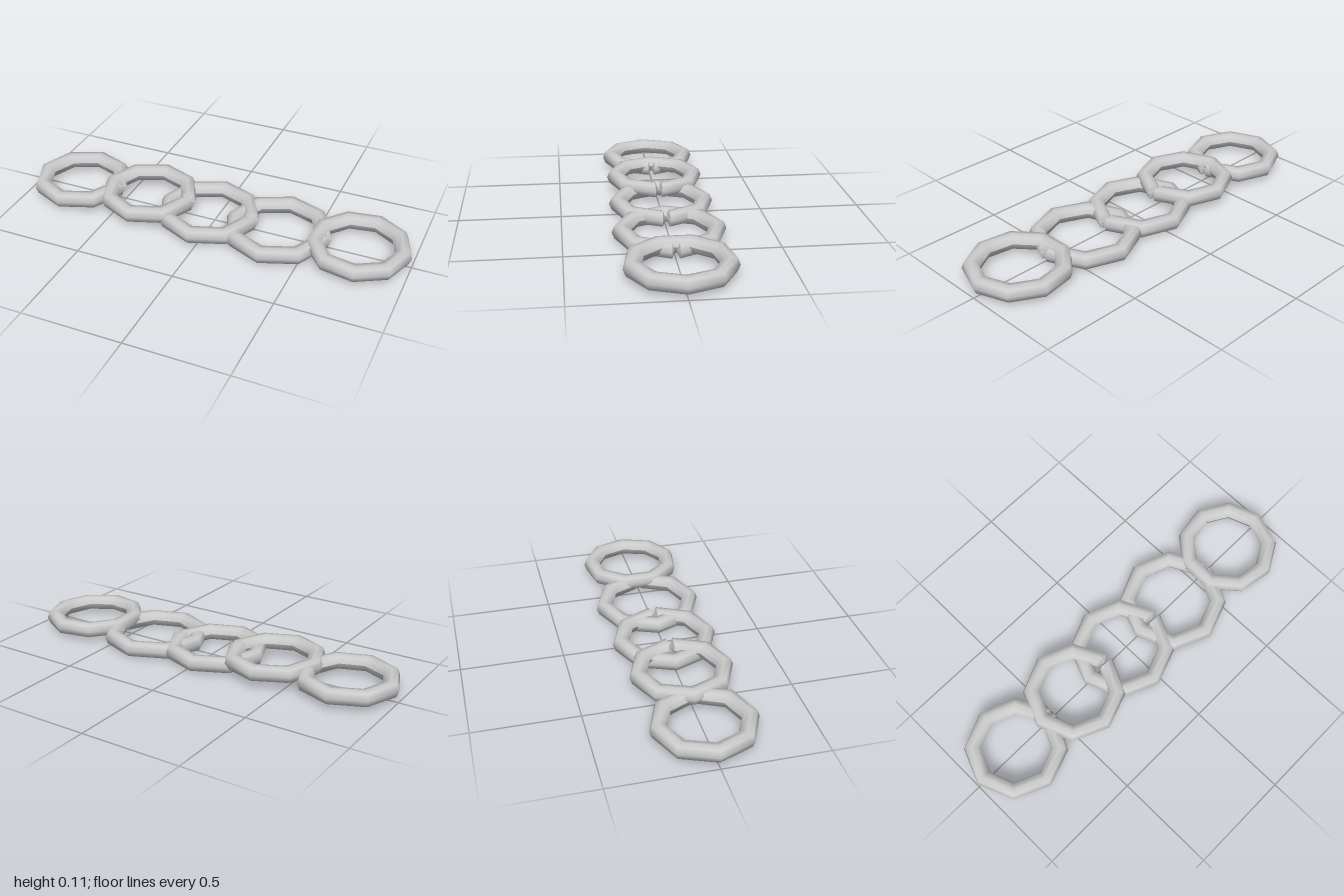
import * as THREE from 'three';

const material = new THREE.MeshStandardMaterial({ color: 0xcccccc });
const HALF_WIDTH = 0.041; // half the radial width of a link

// Rounded cross-section, starting at the inner side and running counter-clockwise
function crossSection(outerRadius) {
  const c = outerRadius - HALF_WIDTH;
  const offsets = [
    [-0.041, 0], [-0.029, -0.031], [0, -0.036], [0.029, -0.031],
    [0.041, 0], [0.029, 0.031], [0, 0.036], [-0.029, 0.031], [-0.041, 0],
  ];
  return offsets.map(([x, y]) => new THREE.Vector2(c + x, y));
}

// Shallow pointed end that faces across the gap of a split link
function endCap(profile, outerRadius, phi, flip) {
  const apex = [outerRadius - HALF_WIDTH, 0, flip ? 0.001 : -0.001];
  const at = (p) => [p.x * Math.sin(phi), p.y, p.x * Math.cos(phi)];
  const positions = [];
  for (let i = 0; i < profile.length - 1; i++) {
    const a = at(profile[i]);
    const b = at(profile[i + 1]);
    positions.push(...(flip ? b : a), ...(flip ? a : b), ...apex);
  }
  const geometry = new THREE.BufferGeometry();
  geometry.setAttribute('position', new THREE.Float32BufferAttribute(positions, 3));
  geometry.computeVertexNormals();
  return geometry;
}

// One link, split at its +x end or closed
function makeLink({ x, y, radius, tilt, sides, split }) {
  const link = new THREE.Group();
  const profile = crossSection(radius);
  const gap = split ? 0.07 : 0;
  const start = Math.PI / 2 + gap;
  const length = Math.PI * 2 - gap * 2;

  const ring = new THREE.Mesh(new THREE.LatheGeometry(profile, sides, start, length), material);
  ring.name = 'ring';
  link.add(ring);

  if (split) {
    [false, true].forEach((flip) => {
      const phi = Math.PI / 2 + (flip ? -gap : gap);
      const cap = new THREE.Mesh(endCap(profile, radius, phi, flip), material);
      cap.name = flip ? 'frontEndCap' : 'backEndCap';
      link.add(cap);
    });
  }

  link.position.set(x, y, 0);
  link.rotation.z = tilt;
  return link;
}

export function createModel() {
  const chain = new THREE.Group();
  chain.name = 'chain';

  // Overlapping links from the right end to the left end
  const links = [
    { x: -0.75, y: 0.06, radius: 0.25, tilt: 0.004, sides: 8, split: true },
    { x: -0.36, y: 0.074, radius: 0.25, tilt: -0.012, sides: 8, split: true },
    { x: -0.03, y: 0.046, radius: 0.26, tilt: -0.006, sides: 8, split: true },
    { x: 0.335, y: 0.04, radius: 0.27, tilt: 0.006, sides: 8, split: true },
    { x: 0.742, y: 0.056, radius: 0.256, tilt: -0.012, sides: 9, split: false },
  ];
  links.forEach((options, i) => {
    const link = makeLink(options);
    link.name = `link${i + 1}`;
    chain.add(link);
  });
  return chain;
}
